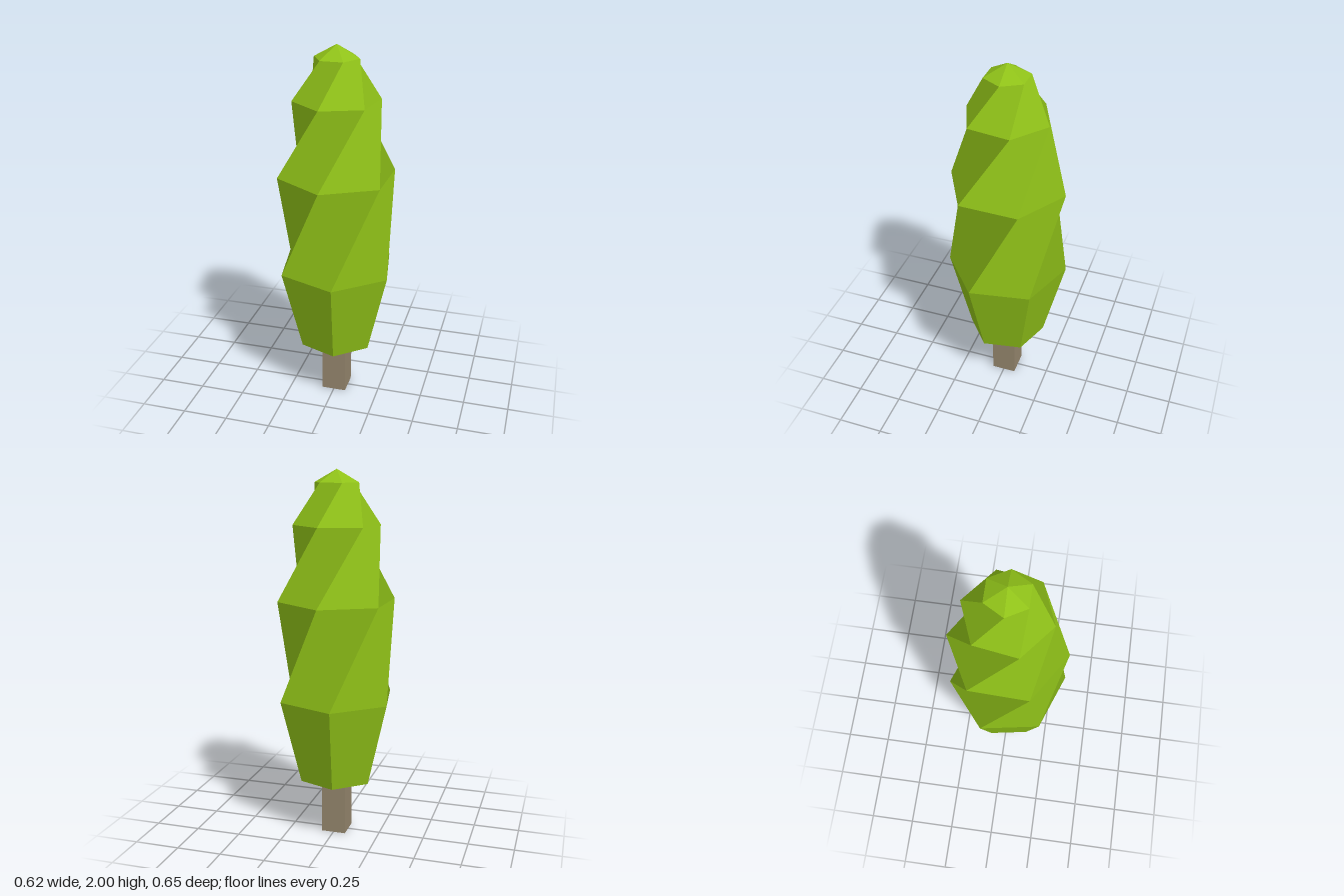
import * as THREE from 'three';

const SIDES = 6;

// Six-sided rings from bottom to top: [height, radius, turn in degrees]
const RINGS = [
  [0.315, 0.212, 20.2],
  [0.78, 0.328, 20.1],
  [1.315, 0.32, -28],
  [1.715, 0.232, -81.4],
  [1.933, 0.12, -120],
];
const APEX = 2;

function ringPoint([y, r, turn], i) {
  const a = THREE.MathUtils.degToRad(turn + (i * 360) / SIDES);
  return new THREE.Vector3(r * Math.cos(a), y, r * Math.sin(a));
}

function foliageGeometry() {
  const positions = [], normals = [];
  const addTriangle = (a, b, c, n) => {
    const normal = n ?? b.clone().sub(a).cross(c.clone().sub(a)).normalize();
    for (const p of [a, b, c]) {
      positions.push(p.x, p.y, p.z);
      normals.push(normal.x, normal.y, normal.z);
    }
  };
  const first = RINGS[0], last = RINGS[RINGS.length - 1];
  const base = new THREE.Vector3(0, first[0], 0);
  const tip = new THREE.Vector3(0, APEX, 0);

  for (let i = 0; i < SIDES; i++) {
    // Twisted four-sided facets, each shaded as one face
    for (let k = 0; k < RINGS.length - 1; k++) {
      const b0 = ringPoint(RINGS[k], i), b1 = ringPoint(RINGS[k], i + 1);
      const t0 = ringPoint(RINGS[k + 1], i), t1 = ringPoint(RINGS[k + 1], i + 1);
      const n = t1.clone().sub(b0).cross(b1.clone().sub(t0)).normalize();
      addTriangle(b0, t0, b1, n);
      addTriangle(t0, t1, b1, n);
    }
    // Pointed cap and flat underside
    addTriangle(ringPoint(last, i), tip, ringPoint(last, i + 1));
    addTriangle(base, ringPoint(first, i), ringPoint(first, i + 1));
  }

  const geometry = new THREE.BufferGeometry();
  geometry.setAttribute('position', new THREE.Float32BufferAttribute(positions, 3));
  geometry.setAttribute('normal', new THREE.Float32BufferAttribute(normals, 3));
  return geometry;
}

export function createModel() {
  const tree = new THREE.Group();
  tree.name = 'tree';

  const foliage = new THREE.Mesh(
    foliageGeometry(),
    new THREE.MeshStandardMaterial({ color: 0x8fc118 })
  );
  foliage.name = 'foliage';

  // Square trunk, ending just inside the foliage
  const trunkHeight = 0.33;
  const trunk = new THREE.Mesh(
    new THREE.BoxGeometry(0.135, trunkHeight, 0.135),
    new THREE.MeshStandardMaterial({ color: 0x95866d })
  );
  trunk.name = 'trunk';
  trunk.position.y = trunkHeight / 2;

  tree.add(foliage, trunk);
  return tree;
}
